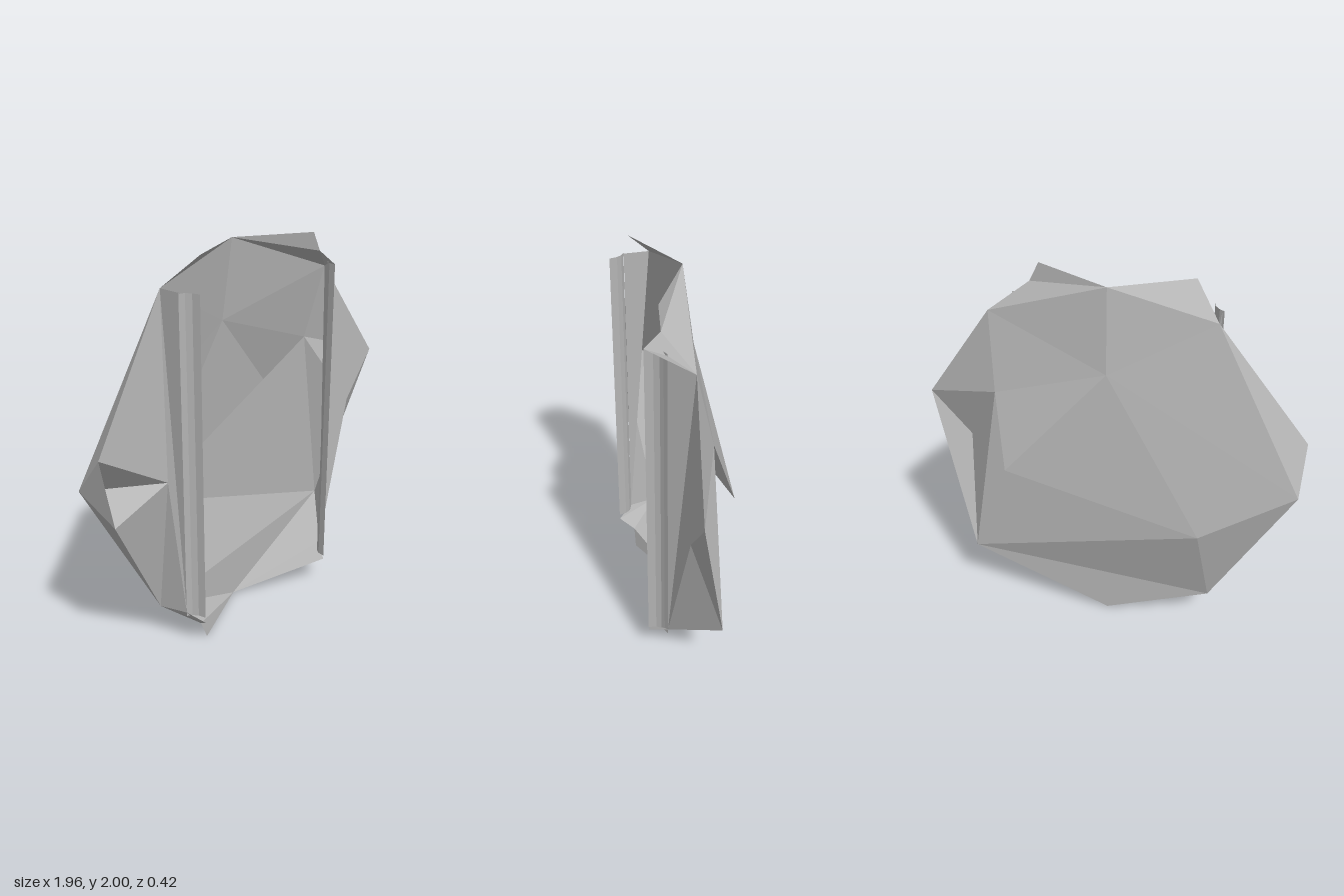
import * as THREE from 'three';

// Named corner points of the faceted shell
const P = {
  topMid: [0, 2, -0.06], peak: [-0.01, 1.58, -0.12], bottomMid: [0, 0.01, -0.06],
  // right-hand side (-x)
  topTabR: [-0.38, 2, 0.13], shoulderR: [-0.51, 1.85, 0], wingR: [-0.98, 1.19, 0.11],
  pitR: [-0.97, 0.98, -0.07], lipR: [-0.93, 0.85, 0.135], notchR: [-0.585, 0.95, 0.1],
  humpR: [-0.5, 0.72, -0.175], footR: [-0.56, 0.2, -0.02],
  lowTabR: [-0.38, 0, 0.13], lowTabInR: [-0.42, 0.1, 0.13],
  railTopR: [-0.505, 1.85, 0.13], railLowR: [-0.515, 0.21, 0.13], tipLowR: [-0.46, 0.16, 0.21],
  // left-hand side (+x)
  topTabL: [0.38, 2, 0.13], topTabInL: [0.43, 1.9, 0.13], shoulderL: [0.61, 1.78, 0.015],
  wingL: [0.98, 1.25, 0.06], dentL: [0.78, 1.0, 0.07], notchL: [0.57, 1.38, -0.08],
  humpL: [0.5, 1.0, -0.21], hipL: [0.74, 0.37, -0.11],
  railTopL: [0.515, 1.83, 0.12], railLowL: [0.52, 0.2, 0.12],
  tipTopL: [0.455, 1.84, 0.21], tipLowL: [0.455, 0.15, 0.21],
};

// Triangles between named points, each turned to face the given z side
function facets(name, material, side, list) {
  const pos = [];
  for (const names of list) {
    const [a, b, c] = names.split(' ').map((n) => P[n]);
    const nz = (b[0] - a[0]) * (c[1] - a[1]) - (b[1] - a[1]) * (c[0] - a[0]);
    pos.push(...a, ...(nz * side >= 0 ? [...b, ...c] : [...c, ...b]));
  }
  const g = new THREE.BufferGeometry();
  g.setAttribute('position', new THREE.Float32BufferAttribute(pos, 3));
  g.computeVertexNormals();
  const mesh = new THREE.Mesh(g, material);
  mesh.name = name;
  return mesh;
}

// Upright curled strip swept between two heights; profile holds [x, z] points
function rail(name, material, profile, y0, y1) {
  const pos = [], index = [];
  profile.forEach(([x, z], i) => {
    pos.push(x, y0, z, x, y1, z);
    if (i) {
      const k = 2 * i;
      index.push(k - 2, k, k - 1, k - 1, k, k + 1);
    }
  });
  const g = new THREE.BufferGeometry();
  g.setAttribute('position', new THREE.Float32BufferAttribute(pos, 3));
  g.setIndex(index);
  g.computeVertexNormals();
  const mesh = new THREE.Mesh(g, material);
  mesh.name = name;
  return mesh;
}

export function createModel() {
  const grey = new THREE.MeshStandardMaterial({ color: 0xb4b4b4, side: THREE.DoubleSide, flatShading: true });
  grey.name = 'stone grey';
  const group = new THREE.Group();
  group.name = 'facetedShell';

  // Bulging back sheet with an overhanging fold
  group.add(facets('backShell', grey, -1, [
    'topMid shoulderL peak', 'topMid peak shoulderR',
    'shoulderL notchL peak', 'shoulderL wingL notchL',
    'peak notchL humpL', 'peak humpL humpR',
    'peak humpR pitR', 'peak pitR shoulderR',
    'notchL hipL humpR', 'hipL footR humpR', 'humpR footR pitR',
    'hipL bottomMid footR', 'wingR shoulderR pitR', 'pitR footR lipR',
  ]));
  group.add(facets('backFold', grey, -1, ['notchL humpL humpR']));

  // Left wing: front plates and the dent at its edge
  group.add(facets('leftWing', grey, 1, [
    'shoulderL wingL dentL', 'shoulderL dentL railLowL', 'dentL hipL railLowL',
    'wingL dentL hipL', 'shoulderL railLowL railTopL',
  ]));
  group.add(facets('leftDent', grey, -1, ['notchL wingL dentL', 'notchL dentL hipL']));

  // Right wing: front plates around the side pocket
  group.add(facets('rightWing', grey, 1, [
    'shoulderR wingR notchR', 'lipR notchR footR',
    'shoulderR notchR railLowR', 'notchR footR railLowR', 'shoulderR railLowR railTopR',
  ]));
  group.add(facets('sidePocket', grey, 1, ['wingR notchR pitR', 'pitR notchR lipR', 'wingR pitR lipR']));

  // Tabs closing the top and bottom corners
  group.add(facets('topTabs', grey, 1, [
    'topMid topTabR shoulderR',
    'topMid topTabL topTabInL', 'topMid topTabInL shoulderL',
    'topTabInL tipTopL shoulderL', 'tipTopL railTopL shoulderL',
  ]));
  group.add(facets('bottomTabs', grey, 1, [
    'bottomMid lowTabR lowTabInR', 'bottomMid lowTabInR footR',
    'lowTabInR tipLowR footR', 'tipLowR railLowR footR',
    'bottomMid hipL railLowL', 'bottomMid railLowL tipLowL',
  ]));

  // Curled lips on both sides of the opening
  group.add(rail('rightRail', grey,
    [[-0.515, 0.13], [-0.49, 0.145], [-0.47, 0.17], [-0.46, 0.21]], 0.19, 1.85));
  group.add(rail('leftRail', grey,
    [[0.455, 0.21], [0.46, 0.17], [0.475, 0.145], [0.495, 0.132], [0.518, 0.12]], 0.17, 1.84));
  return group;
}
